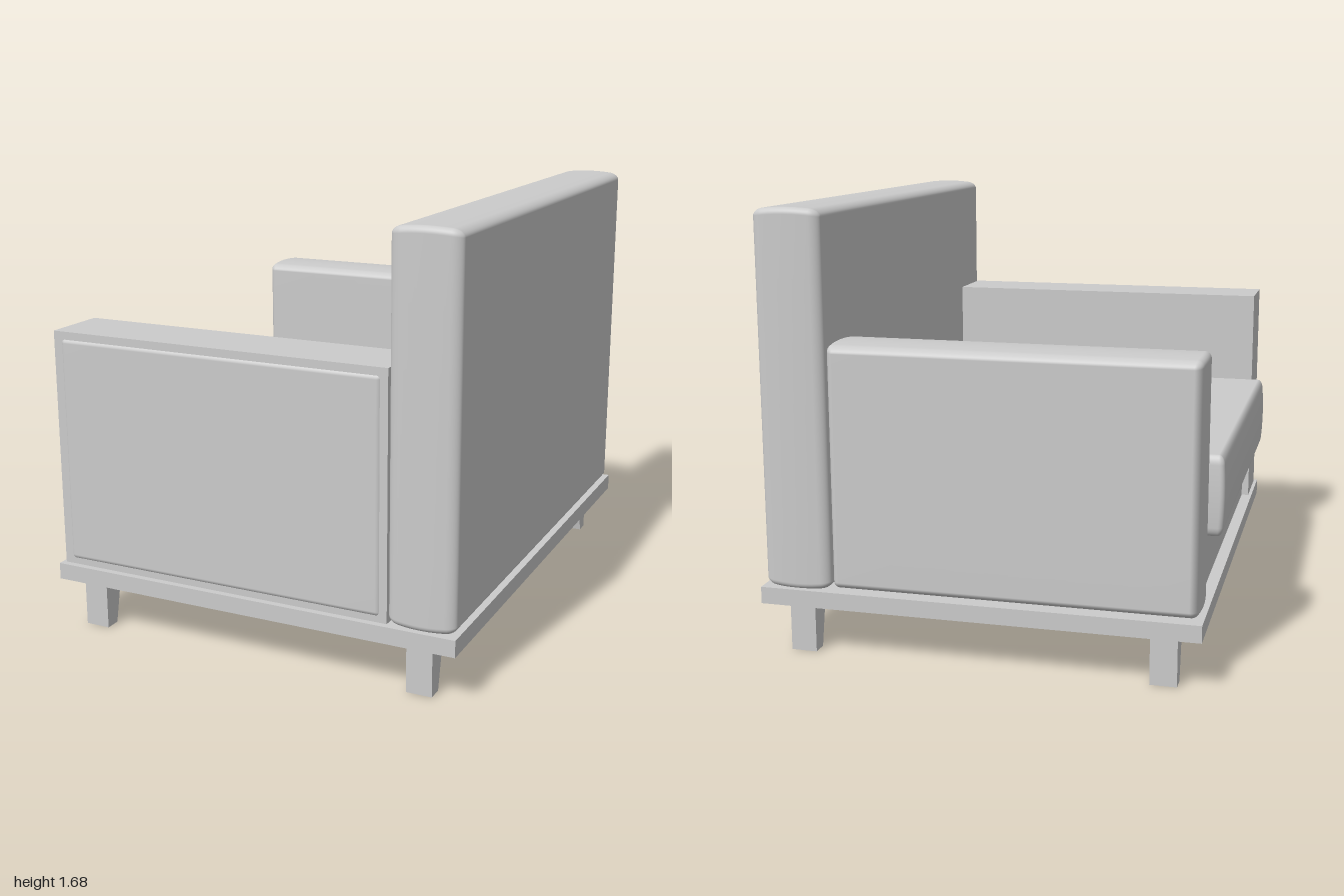
import * as THREE from 'three';
import { mergeVertices } from 'three/addons/utils/BufferGeometryUtils.js';

const material = new THREE.MeshStandardMaterial({ color: 0xcccccc });
const AXES = ['x', 'y', 'z'];

function addMesh(group, name, geometry) {
  const mesh = new THREE.Mesh(geometry, material);
  mesh.name = name;
  group.add(mesh);
  return mesh;
}

// Plain box between two corners
function addBox(group, name, min, max) {
  const size = max.map((v, i) => v - min[i]);
  const mesh = addMesh(group, name, new THREE.BoxGeometry(...size));
  mesh.position.set(...min.map((v, i) => v + size[i] / 2));
  return mesh;
}

// Padded box: separate edge radius per axis, edges crowned across the thin axis
function addCushion(group, name, min, max, radii, thin, crown) {
  const half = max.map((v, i) => (v - min[i]) / 2);
  const geo = new THREE.BoxGeometry(2, 2, 2, 14, 14, 14);
  const pos = geo.attributes.position;
  const p = new THREE.Vector3();
  for (let i = 0; i < pos.count; i++) {
    p.fromBufferAttribute(pos, i);
    const inner = [], offset = [];
    AXES.forEach((axis, k) => {
      const a = Math.abs(p[axis]) * 7, s = Math.sign(p[axis]);
      inner[k] = s * (half[k] - radii[k]) * Math.min(a / 3, 1);
      offset[k] = s * Math.tan(Math.max(a - 3, 0) / 4 * Math.PI / 4);
    });
    const length = Math.hypot(...offset);
    const q = inner.map((v, k) => v + radii[k] * offset[k] / length);
    const t = q[thin] / half[thin];
    q.forEach((v, k) => {
      if (k !== thin) q[k] = v * (1 - crown * t * t / half[k]);
    });
    pos.setXYZ(i, ...q);
  }
  geo.deleteAttribute('normal');
  geo.deleteAttribute('uv');
  const smooth = mergeVertices(geo, 1e-5);
  smooth.computeVertexNormals();
  const mesh = addMesh(group, name, smooth);
  mesh.position.set(...min.map((v, i) => v + half[i]));
  return mesh;
}

// Square leg whose inner side tapers towards the foot
function addLeg(group, name, x, side) {
  const geo = new THREE.BoxGeometry(0.1, 0.19, 0.1).toNonIndexed();
  const pos = geo.attributes.position;
  for (let i = 0; i < pos.count; i++) {
    if (pos.getY(i) < 0 && pos.getZ(i) * side < 0) pos.setZ(i, -0.01 * side);
  }
  geo.computeVertexNormals();
  addMesh(group, name, geo).position.set(x, 0.095, 0.91 * side);
}

export function createModel() {
  const chair = new THREE.Group();
  chair.name = 'armchair';

  // Base board and legs
  addBox(chair, 'baseBoard', [-0.82, 0.19, -1], [0.85, 0.255, 1]);
  for (const side of [-1, 1]) {
    addLeg(chair, 'frontLeg', -0.68, side);
    addLeg(chair, 'backLeg', 0.7, side);
  }

  // Seat support and cushion
  addBox(chair, 'seatSupport', [-0.775, 0.255, -0.72], [0.58, 0.52, 0.72]);
  addCushion(chair, 'seatCushion', [-0.86, 0.5, -0.755], [0.6, 0.805, 0.745],
    [0.02, 0.035, 0.02], 1, 0.008);

  // Backrest
  addCushion(chair, 'backrest', [0.58, 0.25, -0.985], [0.84, 1.68, 0.985],
    [0.04, 0.025, 0.025], 0, 0.01);

  // Padded arm
  addCushion(chair, 'paddedArm', [-0.805, 0.255, -0.98], [0.58, 1.19, -0.715],
    [0.025, 0.025, 0.04], 2, 0.01);

  // Square arm with a shallow pad on its outer side
  addBox(chair, 'squareArm', [-0.805, 0.255, 0.715], [0.58, 1.19, 0.975]);
  addCushion(chair, 'armPad', [-0.79, 0.26, 0.73], [0.57, 1.18, 0.981],
    [0.025, 0.025, 0.04], 2, 0.01);

  return chair;
}
